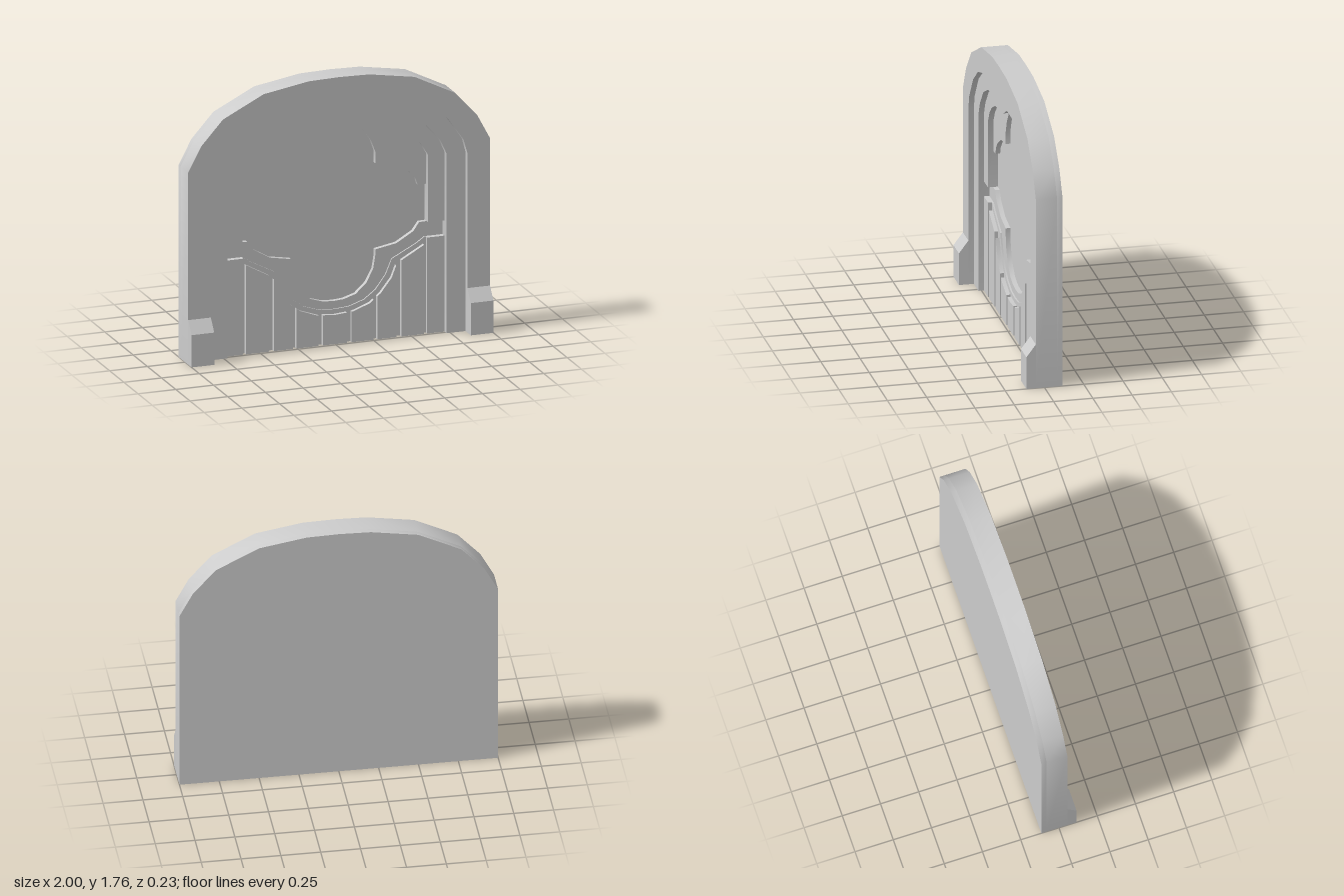
import * as THREE from 'three';
import { toCreasedNormals } from 'three/addons/utils/BufferGeometryUtils.js';

const BACK = -0.115, FLOOR = -0.08;
const mat = new THREE.MeshStandardMaterial({ color: 0xcccccc });

// Right-hand halves of the outlines, each from the side to the centre line
const outer = [[1, 0], [1, 1.25], [0.915, 1.41], [0.77, 1.57], [0.5, 1.705], [0.2, 1.755], [0, 1.76]];
const arch1 = [[0.85, 0], [0.85, 1.17], [0.825, 1.26], [0.72, 1.41], [0.585, 1.51], [0.34, 1.585], [0.15, 1.605], [0, 1.61]];
const archCurve2 = [[0.725, 1.17], [0.685, 1.26], [0.59, 1.37], [0.47, 1.43], [0.23, 1.485], [0, 1.49]];
const archCurve3 = [[0.615, 1.165], [0.57, 1.24], [0.515, 1.29], [0.42, 1.34], [0.19, 1.375]];
const lobeTop = [[0.1, 1.425], [0, 1.435]];
const lobeSide = [[0.25, 1.29], [0.28, 1.21], [0.28, 1.135], [0.41, 1.115], [0.5, 1.06], [0.545, 1.01], [0.56, 0.965], [0.615, 0.965]];
const bandTop = [[0.725, 0.725], [0.57, 0.72], [0.53, 0.665], [0.42, 0.6], [0.28, 0.575], [0.28, 0.54], [0.265, 0.45],
  [0.22, 0.365], [0.15, 0.3], [0.07, 0.275], [0, 0.27]];
const panelTop = [[0.725, 0.625], [0.6, 0.625], [0.55, 0.59], [0.385, 0.505], [0.345, 0.41], [0.275, 0.315],
  [0.2, 0.26], [0.1, 0.227], [0, 0.22]];
const slatTop = [[0.59, 0.58], [0.41, 0.48], [0.375, 0.39], [0.3, 0.295], [0.23, 0.24], [0.12, 0.2], [0, 0.19]];

const flip = (pts) => pts.map(([x, y]) => [-x, y]).reverse();
// Full symmetrical line from a half that ends on x = 0
const full = (half) => [...half, ...flip(half).slice(1)];

function extrude(pts, depth) {
  const shape = new THREE.Shape(pts.map(([x, y]) => new THREE.Vector2(x, y)));
  return new THREE.ExtrudeGeometry(shape, { depth, bevelEnabled: false });
}

// Height of the slat line at a given x
function slatHeight(x) {
  const i = Math.max(1, slatTop.findIndex((p) => p[0] <= x));
  const [x0, y0] = slatTop[i - 1], [x1, y1] = slatTop[i];
  return y0 + (y1 - y0) * (x - x0) / (x1 - x0);
}

export function createModel() {
  const group = new THREE.Group();
  const add = (name, geometry) => {
    const mesh = new THREE.Mesh(toCreasedNormals(geometry, 0.6), mat);
    mesh.name = name;
    group.add(mesh);
  };
  const layer = (name, pts, front, back = FLOOR) =>
    add(name, extrude(pts, front - back).translate(0, 0, back));
  const hoop = (outside, inside) => [...full(outside), ...full(inside).reverse()];

  // Back plate, whose front is the floor of the lobed recess
  layer('backPlate', full(outer), FLOOR, BACK);

  // Stepped arches, each set deeper than the last
  layer('outerArch', hoop(outer, arch1), 0.055);
  layer('middleArch', hoop(arch1, [[0.725, 0], ...archCurve2]), 0.02);
  layer('innerArch', hoop([[0.725, 0.725], ...archCurve2],
    [[0.615, 0.725], ...archCurve3, ...lobeTop]), -0.015);

  // Corner pieces between the inner arch and the lobes
  const spandrel = [...archCurve3, ...lobeSide];
  layer('leftSpandrel', spandrel, -0.05);
  layer('rightSpandrel', flip(spandrel), -0.05);

  // Trim band below the lobes and the panel behind the slats
  const toGround = (half) => full([[0.725, 0], ...half]);
  layer('trimBand', toGround(bandTop), -0.05);
  layer('slatPanel', toGround(panelTop), -0.04);

  // Vertical slats cut to the curve
  const slat = (a, b) => [[b, 0], [b, slatHeight(b)],
    ...slatTop.filter(([x]) => x > a && x < b), [a, slatHeight(a)], [a, 0]];
  const sideSlats = [
    [[0.725, 0], [0.725, 0.625], [0.61, 0.625], [0.61, 0]],
    slat(0.44, 0.59), slat(0.28, 0.405), slat(0.11, 0.255),
  ];
  for (const s of sideSlats) {
    layer('leftSlat', s, -0.015);
    layer('rightSlat', flip(s), -0.015);
  }
  layer('centreSlat', full([[0.08, 0], [0.08, slatHeight(0.08)], [0, 0.19]]), -0.015);

  // Feet with sloping tops at the base of the outer arch
  const footProfile = [[0.055, 0], [0.115, 0], [0.115, 0.21], [0.055, 0.29]];
  for (const [name, x] of [['leftFoot', 0.85], ['rightFoot', -1]]) {
    add(name, extrude(footProfile, 0.15).rotateY(-Math.PI / 2).translate(x + 0.15, 0, 0));
  }
  return group;
}
